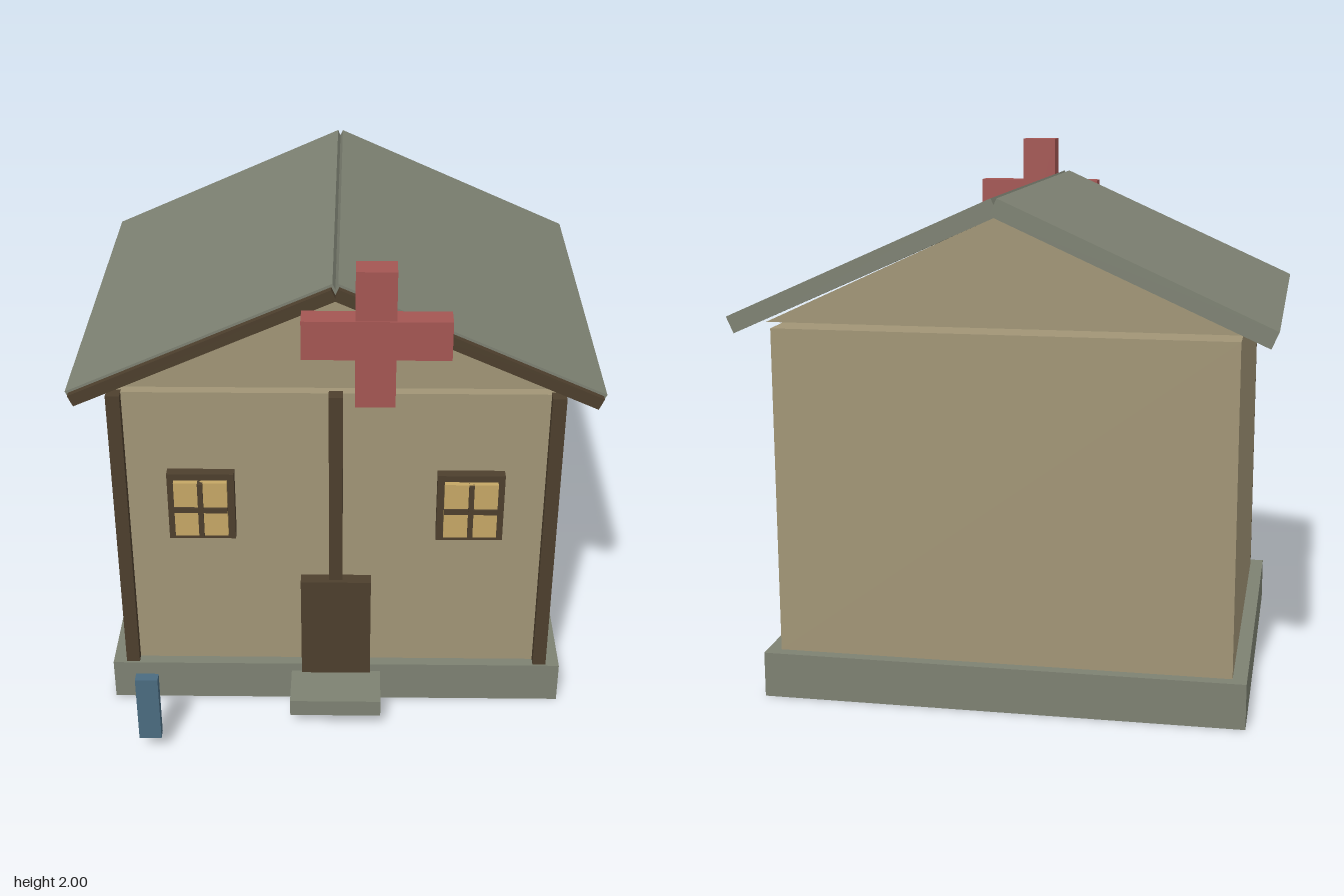
import * as THREE from 'three';

const mat = (name, color) => {
  const m = new THREE.MeshStandardMaterial({ color });
  m.name = name;
  return m;
};

export function createModel() {
  const stone = mat('grey stone', 0x7d8172);
  const plaster = mat('tan plaster', 0xa19576);
  const timber = mat('dark timber', 0x4d3f2d);
  const glow = mat('lit glass', 0xc5a765);
  const red = mat('red paint', 0xa45653);
  const blue = mat('blue paint', 0x4a6b80);

  const house = new THREE.Group();
  house.name = 'house';

  // Box given by its limits on each axis
  const box = (name, material, [x0, x1], [y0, y1], [z0, z1], parent = house) => {
    const mesh = new THREE.Mesh(new THREE.BoxGeometry(x1 - x0, y1 - y0, z1 - z0), material);
    mesh.position.set((x0 + x1) / 2, (y0 + y1) / 2, (z0 + z1) / 2);
    mesh.name = name;
    parent.add(mesh);
    return mesh;
  };

  // Foundation and walls
  box('foundation', stone, [-0.892, 0.892], [0, 0.17], [-0.88, 0.58]);
  box('walls', plaster, [-0.84, 0.84], [0.17, 1.387], [-0.835, 0.537]);

  // Gable, lifted slightly off the walls
  const triangle = new THREE.Shape([
    new THREE.Vector2(-0.855, 1.41),
    new THREE.Vector2(0.855, 1.41),
    new THREE.Vector2(0, 1.805),
  ]);
  const gable = new THREE.Mesh(
    new THREE.ExtrudeGeometry(triangle, { depth: 1.372, bevelEnabled: false }), plaster);
  gable.position.z = -0.835;
  gable.name = 'gable';
  house.add(gable);

  // Sloping roof slabs with timber boards along the front edge
  const slope = 0.421;
  for (const side of [-1, 1]) {
    const label = side > 0 ? 'left' : 'right';
    const slab = (name, material, length, thickness, z0, z1) => {
      const mesh = box(name, material, [-length / 2, length / 2],
        [-thickness / 2, thickness / 2], [z0, z1]);
      mesh.position.x = side * 0.477;
      mesh.position.y = 1.625;
      mesh.rotation.z = -side * slope;
    };
    slab(label + 'Roof', stone, 1.052, 0.065, -0.925, 0.63);
    slab(label + 'BargeBoard', timber, 1.035, 0.046, 0.62, 0.655);
  }

  // Timber posts on the front wall
  for (const x of [-0.813, 0, 0.813]) {
    box('frontPost', timber, [x - 0.026, x + 0.026], [0.17, 1.388], [0.52, 0.572]);
  }

  // Windows: frame, panes and crossing glazing bars
  for (const side of [-1, 1]) {
    const win = new THREE.Group();
    win.name = side > 0 ? 'leftWindow' : 'rightWindow';
    win.position.set(side * 0.507, 0.917, 0);
    box('windowFrame', timber, [-0.126, 0.126], [-0.143, 0.143], [0.52, 0.578], win);
    box('windowPanes', glow, [-0.1, 0.1], [-0.117, 0.117], [0.57, 0.599], win);
    box('verticalBar', timber, [-0.01, 0.01], [-0.117, 0.117], [0.57, 0.608], win);
    box('horizontalBar', timber, [-0.1, 0.1], [-0.011, 0.011], [0.57, 0.606], win);
    house.add(win);
  }

  // Door and doorstep
  box('door', timber, [-0.136, 0.136], [0.038, 0.578], [0.52, 0.59]);
  box('doorstep', stone, [-0.177, 0.177], [0.065, 0.135], [0.575, 0.767]);

  // Cross sign hanging in front of the gable
  const sign = new THREE.Group();
  sign.name = 'crossSign';
  box('crossUpright', red, [0.07, 0.21], [1.488, 2], [0.727, 0.817], sign);
  box('crossArm', red, [-0.115, 0.4], [1.675, 1.82], [0.739, 0.823], sign);
  house.add(sign);

  // Blue marker standing off the front corner
  box('blueMarker', blue, [-0.75, -0.665], [0.085, 0.367], [0.89, 0.93]);

  return house;
}
